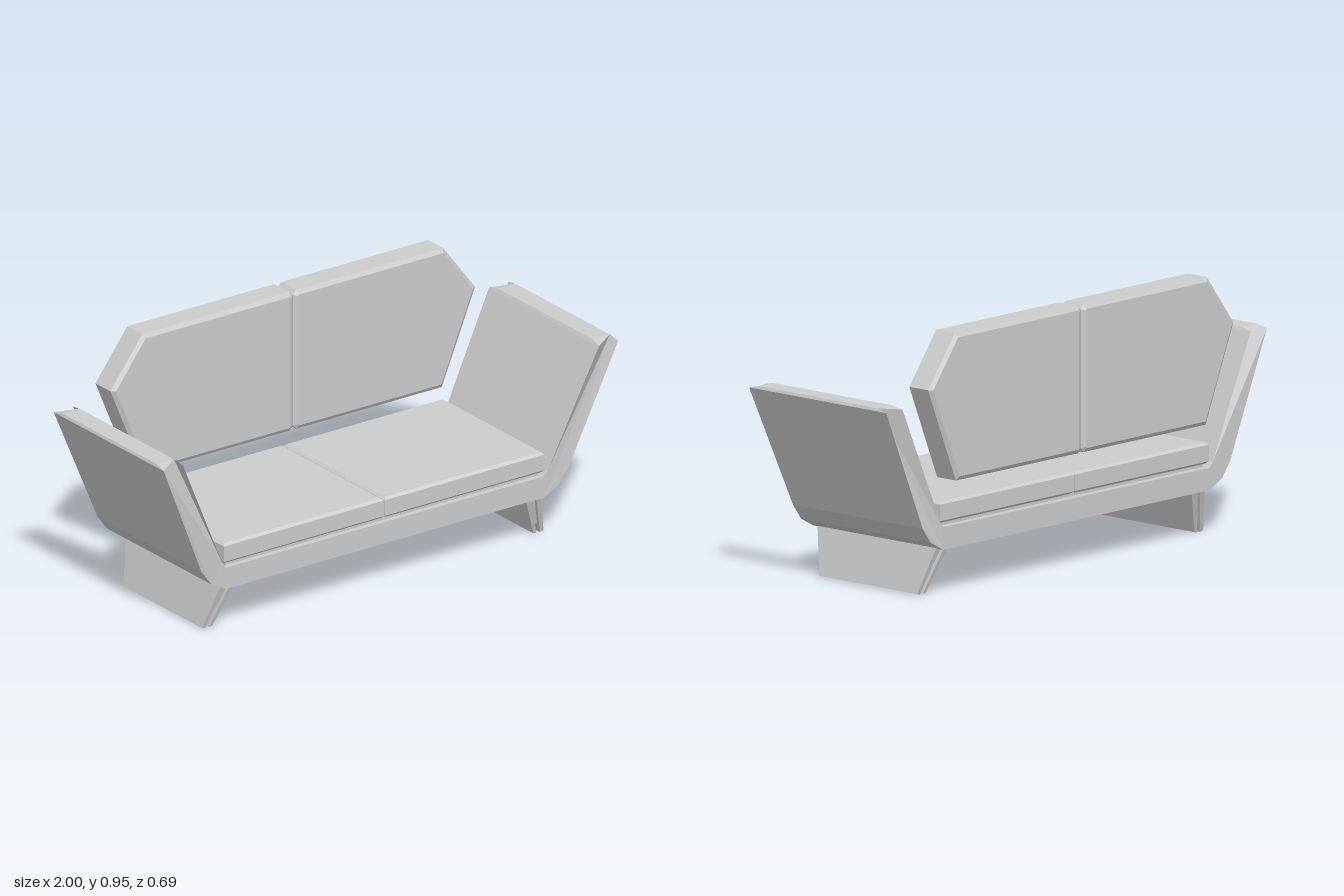
import * as THREE from 'three';

const material = new THREE.MeshStandardMaterial({ color: 0xcccccc, flatShading: true });

const toShape = (pts) => new THREE.Shape(pts.map(([x, y]) => new THREE.Vector2(x, y)));
const mirrored = (pts) => pts.map(([x, y]) => [-x, y]).reverse();

function addMesh(parent, name, geometry) {
  const mesh = new THREE.Mesh(geometry, material);
  mesh.name = name;
  parent.add(mesh);
  return mesh;
}

// Unit-depth prism whose front and back depths depend on height
function shapedPrism(pts, frontZ, backZ) {
  const geo = new THREE.ExtrudeGeometry(toShape(pts), { depth: 1, bevelEnabled: false });
  const pos = geo.attributes.position;
  for (let i = 0; i < pos.count; i++) {
    const y = pos.getY(i);
    pos.setZ(i, pos.getZ(i) > 0.5 ? frontZ(y) : backZ(y));
  }
  geo.computeVertexNormals();
  return geo;
}

// Padded slab with chamfered rims, kept inside the given outline
function paddedSlab(pts, thickness, chamfer, inset) {
  return new THREE.ExtrudeGeometry(toShape(pts), {
    depth: thickness - 2 * chamfer, bevelEnabled: true, bevelSegments: 1,
    bevelThickness: chamfer, bevelSize: inset, bevelOffset: -inset,
  }).translate(0, 0, chamfer);
}

export function createModel() {
  const sofa = new THREE.Group();
  sofa.name = 'sofa';

  // One-piece shell: base and two flared arms with chamfered tips
  const outer = [[0.70, 0.168], [0.765, 0.202], [0.808, 0.26], [1, 0.71], [0.996, 0.72]];
  const inner = [[0.921, 0.72], [0.915, 0.71], [0.715, 0.268], [0.70, 0.25]];
  const half = [...outer, ...inner];
  addMesh(sofa, 'frame', shapedPrism(
    [...half, ...mirrored(half)],
    (y) => (y > 0.715 ? 0.30 : 0.31 + Math.max(0, y - 0.26) * 0.078),
    (y) => (y > 0.715 ? -0.27 : -0.315),
  ));

  // Recessed strip under the cushions
  const plate = addMesh(sofa, 'cushionBase', new THREE.BoxGeometry(1.38, 0.016, 0.58));
  plate.position.y = 0.256;

  const cushionPts = [[0.002, -0.305], [0.706, -0.305], [0.706, 0.305], [0.002, 0.305]];
  const backPts = [[0.001, 0.43], [0.014, 0.415], [0.656, 0.415], [0.802, 0.765],
    [0.662, 0.95], [0.014, 0.95], [0.001, 0.935]];

  for (const side of [1, -1]) {
    const label = side > 0 ? 'left' : 'right';
    const place = (pts) => (side > 0 ? pts : mirrored(pts));

    // Seat cushion
    const cushion = paddedSlab(place(cushionPts), 0.078, 0.009, 0.01);
    cushion.rotateX(-Math.PI / 2).translate(0, 0.262, 0);
    addMesh(sofa, label + 'SeatCushion', cushion);

    // Angular back cushion
    const back = paddedSlab(place(backPts), 0.11, 0.01, 0.015);
    back.translate(0, 0, -0.345);
    addMesh(sofa, label + 'BackCushion', back);

    // Splayed leg: two plates around a shorter, recessed core
    const leg = new THREE.Group();
    leg.name = label + 'Leg';
    const plates = [
      ['outerPlate', [[0.736, 0], [0.751, 0.004], [0.705, 0.172], [0.682, 0.172]], 0],
      ['core', [[0.715, 0.038], [0.728, 0.038], [0.684, 0.172], [0.658, 0.172]], 0.012],
      ['innerPlate', [[0.705, 0.004], [0.72, 0], [0.66, 0.172], [0.636, 0.172]], 0],
    ];
    for (const [name, pts, recess] of plates) {
      const z = (y) => 0.235 - recess + y * 0.295;
      addMesh(leg, name, shapedPrism(place(pts), z, (y) => -z(y)));
    }
    sofa.add(leg);
  }
  return sofa;
}
